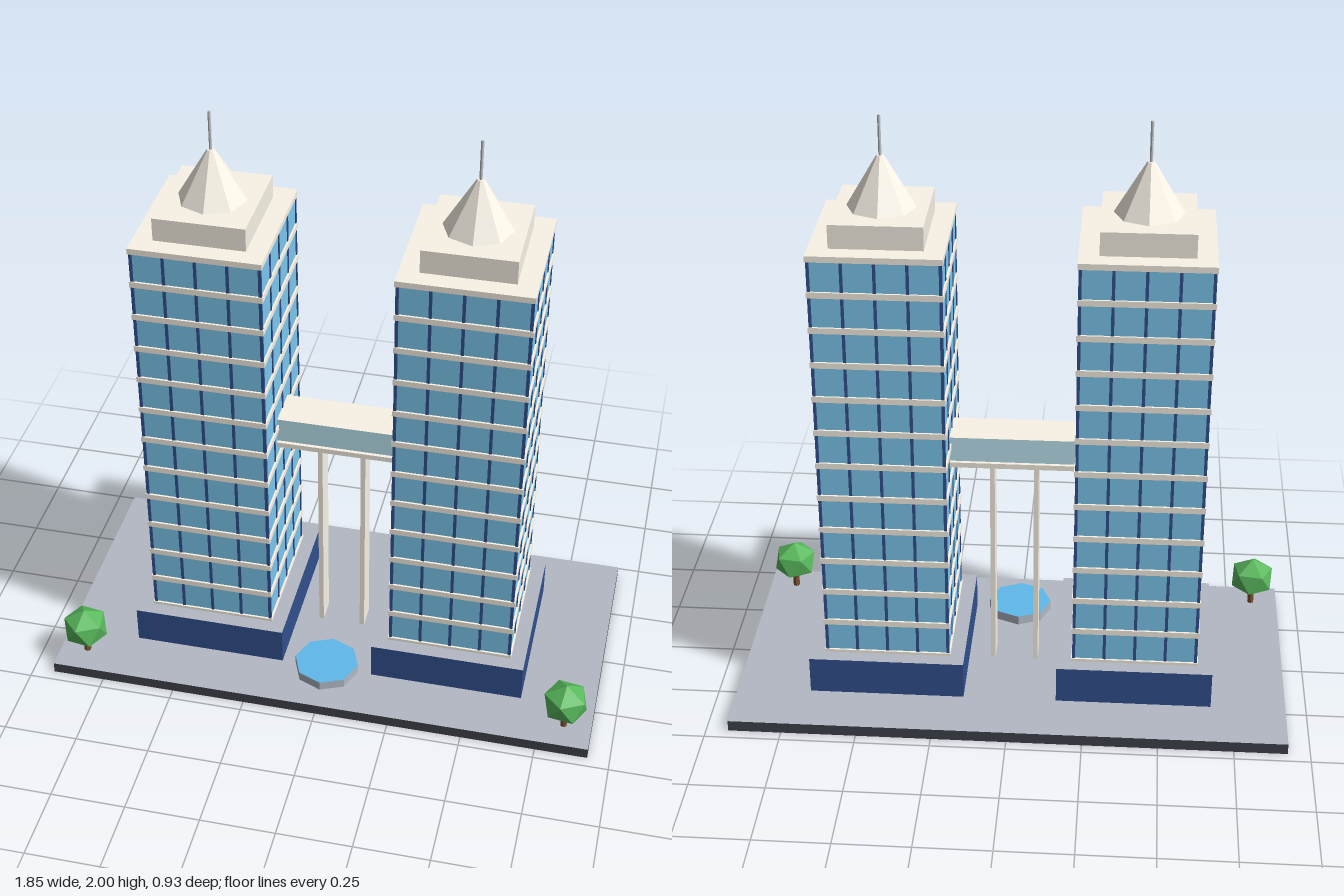
import * as THREE from 'three';

const mat = (color) => new THREE.MeshStandardMaterial({ color, flatShading: true });
const M = {
  stone: mat(0xfaf4e7), glass: mat(0x7dc8f0), navy: mat(0x32508f), dark: mat(0x40434d),
  paving: mat(0xb3b8c4), bridgeGlass: mat(0xbde6f1), water: mat(0x5fb8ea),
  leaf: mat(0x59b95d), trunk: mat(0x7c5230), metal: mat(0xc8cacf),
};

function add(parent, name, geometry, material, x, y, z) {
  const mesh = new THREE.Mesh(geometry, material);
  mesh.name = name;
  mesh.position.set(x, y, z);
  parent.add(mesh);
  return mesh;
}

// Box standing between y0 and y1, optionally with another material on its top face
function block(parent, name, w, y0, y1, d, material, x = 0, z = 0, top = null) {
  const m = top ? [material, material, top, material, material, material] : material;
  return add(parent, name, new THREE.BoxGeometry(w, y1 - y0, d), m, x, (y0 + y1) / 2, z);
}

function createTower(x) {
  const tower = new THREE.Group();
  tower.name = 'tower';
  tower.position.x = x;

  block(tower, 'podium', 0.52, 0.04, 0.17, 0.556, M.navy, 0, 0, M.paving);
  block(tower, 'glassShaft', 0.412, 0.17, 1.61, 0.446, M.glass);

  // Narrow window mullions standing slightly proud of the four faces
  for (const side of [-1, 1]) {
    for (let i = -2; i <= 2; i++) {
      block(tower, 'mullionFrontBack', 0.01, 0.17, 1.61, 0.008, M.navy, i * 0.102, side * 0.222);
      block(tower, 'mullionSide', 0.008, 0.17, 1.61, 0.01, M.navy, side * 0.205, i * 0.111);
    }
  }

  // Floor bands
  for (let i = 0; i <= 12; i++) {
    const y = 0.17 + i * 0.1204;
    block(tower, 'floorBand', 0.425, y - 0.01, y + 0.01, 0.46, M.stone);
  }

  // Roof block, faceted spire and antenna
  block(tower, 'roofBlock', 0.296, 1.61, 1.703, 0.334, M.stone);
  add(tower, 'spire', new THREE.CylinderGeometry(0.012, 0.111, 0.167, 8), M.stone, 0, 1.7865, 0);
  add(tower, 'antenna', new THREE.CylinderGeometry(0.005, 0.005, 0.135, 8), M.metal, 0, 1.9325, 0);
  return tower;
}

function createTree(x, z) {
  const tree = new THREE.Group();
  tree.name = 'tree';
  tree.position.set(x, 0, z);
  add(tree, 'trunk', new THREE.CylinderGeometry(0.012, 0.012, 0.065, 6), M.trunk, 0, 0.0725, 0);
  // Icosahedron turned so that one corner points straight up, a little wider than tall
  const crown = new THREE.IcosahedronGeometry(0.073, 0);
  crown.rotateZ(-Math.atan(2 / (1 + Math.sqrt(5)))).rotateY(Math.PI / 4).scale(1.1, 1, 1.1);
  add(tree, 'crown', crown, M.leaf, 0, 0.147, 0);
  return tree;
}

function createSkybridge() {
  const bridge = new THREE.Group();
  bridge.name = 'skybridge';
  block(bridge, 'bridgeFloor', 0.43, 0.82, 0.838, 0.164, M.stone);
  block(bridge, 'bridgeCabin', 0.43, 0.838, 0.924, 0.14, M.bridgeGlass, 0, 0, M.stone);
  for (const side of [-1, 1]) {
    block(bridge, 'bridgePillar', 0.016, 0.04, 0.82, 0.08, M.stone, side * 0.073);
  }
  return bridge;
}

export function createModel() {
  const model = new THREE.Group();
  model.name = 'twinTowers';

  block(model, 'plaza', 1.852, 0, 0.038, 0.926, M.dark, 0, 0, M.paving);
  for (const side of [-1, 1]) {
    model.add(createTower(side * 0.416));
    model.add(createTree(side * 0.833, 0.369));
  }
  model.add(createSkybridge());

  // Eight-sided pool with a water surface on top
  add(model, 'pool', new THREE.CylinderGeometry(0.11, 0.11, 0.034, 8),
    [M.paving, M.water, M.paving], 0, 0.054, 0.276);
  return model;
}
